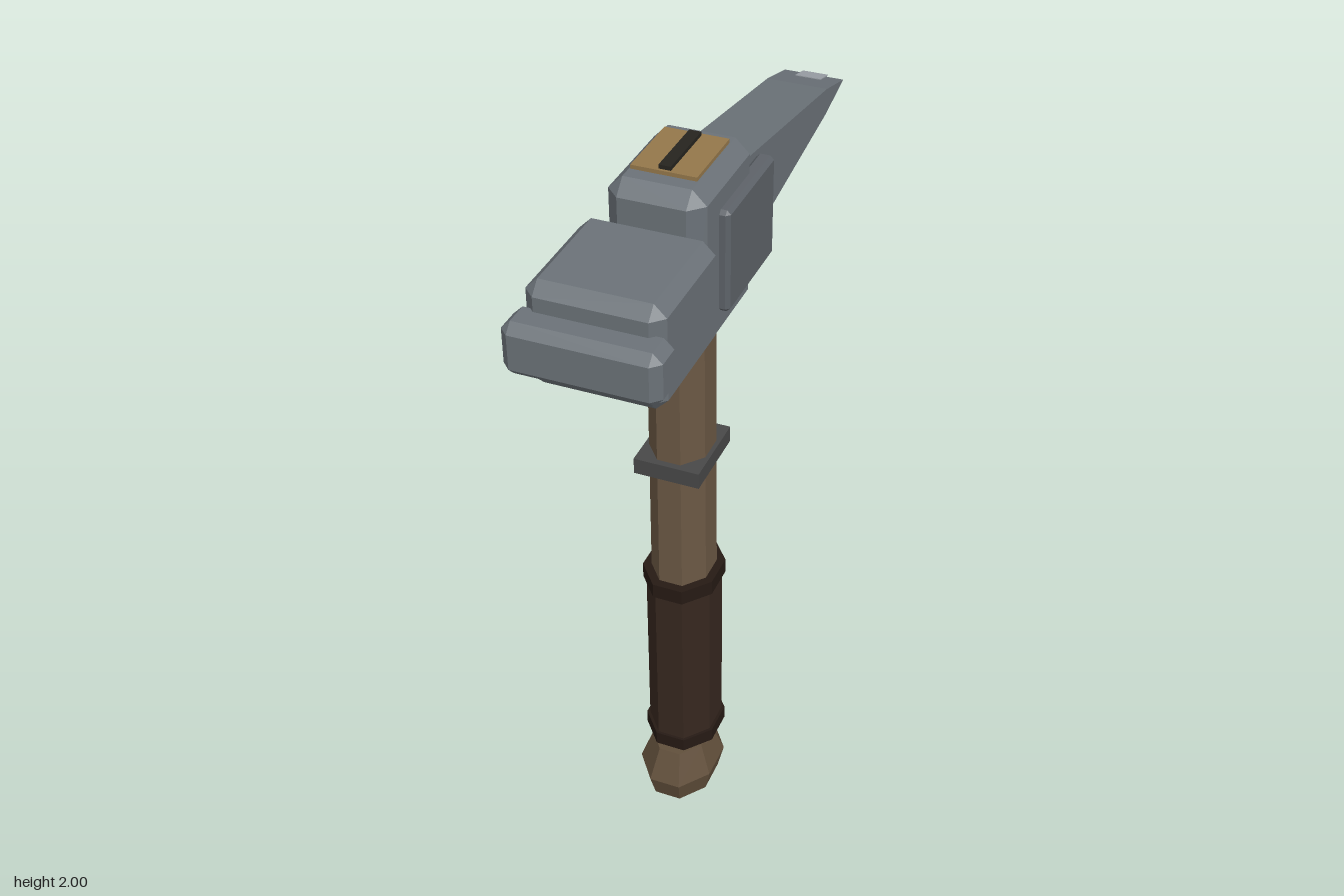
import * as THREE from 'three';
import { ConvexGeometry } from 'three/addons/geometries/ConvexGeometry.js';

const mat = (color) => new THREE.MeshStandardMaterial({ color, flatShading: true });
const STEEL = mat(0x6b7278), CHEEK = mat(0x5d6268), EDGE = mat(0x9ba1a7), IRON = mat(0x484848);
const WOOD = mat(0x6b5844), POMMEL = mat(0x614f3b), END_GRAIN = mat(0x94774a);
const LEATHER = mat(0x36271f), BAND = mat(0x261a14), WEDGE = mat(0x26241f);

// Box between two corners with every edge chamfered by c
function chamferBox([x0, y0, z0], [x1, y1, z1], c) {
  const half = [(x1 - x0) / 2, (y1 - y0) / 2, (z1 - z0) / 2];
  const points = [];
  for (const sx of [-1, 1]) for (const sy of [-1, 1]) for (const sz of [-1, 1]) {
    for (let flush = 0; flush < 3; flush++) {
      const s = [sx, sy, sz].map((sign, k) => sign * (half[k] - (k === flush ? 0 : c)));
      points.push(new THREE.Vector3(...s));
    }
  }
  return new ConvexGeometry(points).translate((x0 + x1) / 2, (y0 + y1) / 2, (z0 + z1) / 2);
}

// Plain box between two corners
function box([x0, y0, z0], [x1, y1, z1]) {
  return new THREE.BoxGeometry(x1 - x0, y1 - y0, z1 - z0)
    .translate((x0 + x1) / 2, (y0 + y1) / 2, (z0 + z1) / 2);
}

// Eight-sided shaft; halfX and halfZ are the distances to its flat sides
function octagon(rTop, rBottom, y0, y1, halfX, halfZ, z) {
  const k = 1 / Math.cos(Math.PI / 8);
  return new THREE.CylinderGeometry(rTop * k, rBottom * k, y1 - y0, 8)
    .rotateY(Math.PI / 8).scale(halfX, 1, halfZ).translate(0, (y0 + y1) / 2, z);
}

// Horizontal taper along z: sections are [z, half height]
function taper(sections, halfWidth, y) {
  const points = [];
  for (const [z, h] of sections) for (const x of [-halfWidth, halfWidth]) {
    points.push(new THREE.Vector3(x, y + h, z));
    if (h > 0) points.push(new THREE.Vector3(x, y - h, z));
  }
  return new ConvexGeometry(points);
}

export function createModel() {
  const model = new THREE.Group();
  model.name = 'warHammer';
  const add = (parent, name, geometry, material) => {
    const mesh = new THREE.Mesh(geometry, material);
    mesh.name = name;
    parent.add(mesh);
  };
  const Z = 0.195; // handle axis

  // Handle: shaft, pommel, wrapped grip and ring
  const handle = new THREE.Group();
  handle.name = 'handle';
  model.add(handle);
  add(handle, 'shaft', octagon(0.93, 1, 0.1, 1.975, 0.08, 0.096, Z), WOOD);
  add(handle, 'pommelLower', octagon(1, 0.85, 0, 0.07, 0.105, 0.136, 0.222), POMMEL);
  add(handle, 'pommelUpper', octagon(0.7, 1, 0.07, 0.16, 0.105, 0.136, 0.222), POMMEL);
  add(handle, 'grip', octagon(1, 1, 0.18, 0.76, 0.091, 0.11, Z), LEATHER);
  for (const [name, y0, y1] of [['lowerBand', 0.175, 0.215], ['upperBand', 0.727, 0.77]]) {
    add(handle, name, octagon(1, 1, y0, y1, 0.099, 0.117, Z), BAND);
  }
  add(handle, 'ring', box([-0.088, 1.125, 0.09], [0.088, 1.17, 0.305]), IRON);

  // Head: socket block, hammer and cheek plates
  const head = new THREE.Group();
  head.name = 'head';
  model.add(head);
  add(head, 'socket', chamferBox([-0.12, 1.54, 0.025], [0.12, 1.98, 0.36], 0.036), STEEL);
  add(head, 'hammer', chamferBox([-0.165, 1.625, 0.357], [0.165, 1.895, 0.69], 0.03), STEEL);
  add(head, 'hammerFace', chamferBox([-0.188, 1.693, 0.655], [0.188, 1.828, 0.762], 0.023), STEEL);
  for (const [name, x0, x1] of [['rightCheek', -0.145, -0.1], ['leftCheek', 0.1, 0.145]]) {
    add(head, name, chamferBox([x0, 1.625, -0.047], [x1, 1.895, 0.252], 0.01), CHEEK);
  }

  // Pick with a bright ground tip
  add(head, 'pick', taper([[0.06, 0.138], [-0.61, 0.036], [-0.75, 0]], 0.084, 1.76), STEEL);
  add(head, 'pickTip', taper([[-0.7, 0.015], [-0.763, 0]], 0.036, 1.76), EDGE);

  // Exposed handle end with its locking wedge
  add(head, 'handleEnd', box([-0.081, 1.96, 0.09], [0.081, 1.99, 0.287]), END_GRAIN);
  add(head, 'lockingWedge', box([-0.015, 1.96, 0.1], [0.015, 2, 0.28]), WEDGE);

  return model;
}
